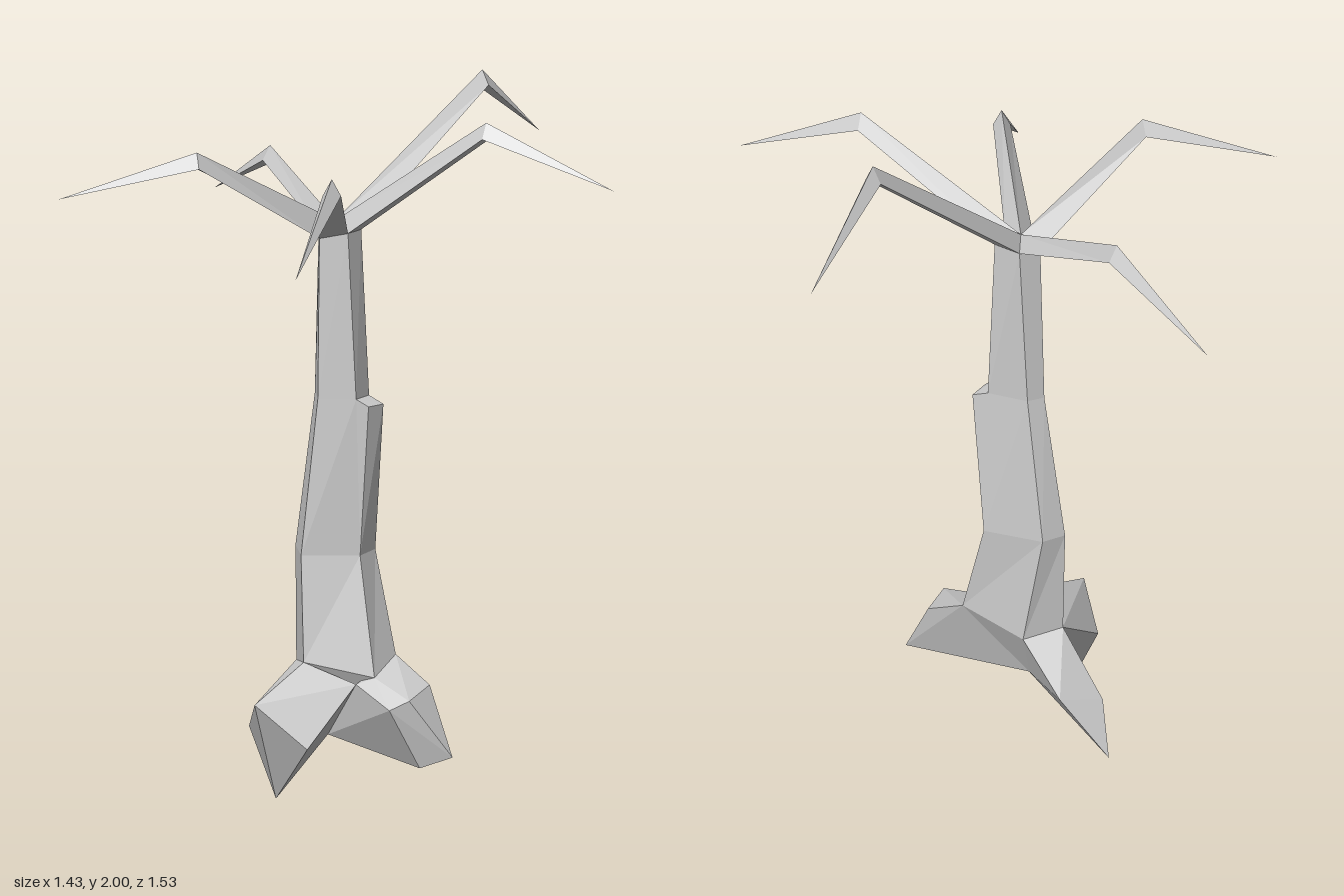
import * as THREE from 'three';
import { ConvexGeometry } from 'three/addons/geometries/ConvexGeometry.js';

const material = new THREE.MeshStandardMaterial({ color: 0xcccccc, flatShading: true, side: THREE.DoubleSide });

// Skins a stack of equal-length rings; each ring runs anticlockwise seen from the far end.
function loft(rings) {
  const out = [];
  const tri = (a, b, c) => {
    const same = (p, q) => p.every((v, k) => v === q[k]);
    if (!same(a, b) && !same(b, c) && !same(a, c)) out.push(...a, ...b, ...c);
  };
  for (let r = 0; r < rings.length - 1; r++) {
    const lo = rings[r], hi = rings[r + 1], n = lo.length;
    for (let i = 0; i < n; i++) {
      const j = (i + 1) % n;
      tri(lo[i], lo[j], hi[j]);
      tri(lo[i], hi[j], hi[i]);
    }
  }
  const g = new THREE.BufferGeometry();
  g.setAttribute('position', new THREE.Float32BufferAttribute(out, 3));
  g.computeVertexNormals();
  return g;
}

function hull(points) {
  return new ConvexGeometry(points.map((p) => new THREE.Vector3(...p)));
}

export function createModel() {
  const tree = new THREE.Group();
  tree.name = 'tree';
  const add = (name, geometry) => {
    const mesh = new THREE.Mesh(geometry, material);
    mesh.name = name;
    tree.add(mesh);
  };

  // Five-sided trunk: front left, front right, right, back right, back left
  const under = [0.02, 0.15, 0.02];
  const foot = [[-0.06, 0.385, 0.11], [0.13, 0.35, 0.17], [0.205, 0.39, 0.07], [0.06, 0.33, -0.06], [-0.06, 0.35, -0.06]];
  const knee = [[-0.062, 0.68, 0.07], [0.1, 0.68, 0.093], [0.155, 0.68, 0.01], [0.01, 0.68, -0.09], [-0.06, 0.68, -0.075]];
  const waist = [[-0.015, 1.12, 0.07], [0.087, 1.12, 0.1], [0.133, 1.12, 0.03], [0.04, 1.12, -0.042], [-0.01, 1.12, -0.035]];
  const crown = [[-0.01, 1.56, 0.065], [0.065, 1.575, 0.09], [0.11, 1.58, 0.03], [0.06, 1.58, -0.038], [0, 1.575, -0.03]];
  add('trunk', loft([foot.map(() => under), foot, knee, waist, crown]));

  // Stepped bark slab on the front right face
  add('barkSlab', hull([knee[1], knee[2], waist[1], waist[2], [0.12, 1.1, 0.11], [0.168, 1.1, 0.065]]));

  // Three blunt roots
  const crotch = [0.08, 0.33, 0.16];
  add('frontLeftRoot', hull([foot[0], foot[4], crotch, under,
    [-0.21, 0.3, 0.23], [-0.21, 0.2, 0.08], [-0.14, 0, 0.125], [-0.07, 0.18, 0.27]]));
  add('frontRightRoot', hull([foot[1], foot[2], crotch, under,
    [0.155, 0.285, 0.28], [0.21, 0.31, 0.28], [0.285, 0.325, 0.17], [0.335, 0.14, 0.26], [0.245, 0.11, 0.25]]));
  add('backRoot', hull([foot[3], foot[4], under,
    [-0.11, 0.09, -0.36], [-0.13, 0.2, -0.23], [0.01, 0.255, -0.27]]));

  // Bent branches: one grows from each side of the crown, given as elbow and tip
  const apex = [0.04, 1.605, 0.02];
  const branches = [
    [[-0.03, 1.755, 0.47], [-0.16, 1.53, 0.765]],
    [[0.405, 1.885, 0.295], [0.7, 1.72, 0.52]],
    [[0.495, 2, -0.25], [0.715, 1.81, -0.51]],
    [[-0.09, 1.78, -0.42], [-0.22, 1.63, -0.765]],
    [[-0.355, 1.807, 0.205], [-0.72, 1.68, 0.13]],
  ];
  branches.forEach(([elbow, tip], i) => {
    const dx = tip[0] - apex[0], dz = tip[2] - apex[2], len = Math.hypot(dx, dz);
    const low = (s) => [elbow[0] + (s * dz) / len, elbow[1] - 0.043, elbow[2] - (s * dx) / len];
    add('branch' + (i + 1), loft([
      [crown[i], crown[(i + 1) % 5], apex],
      [low(-0.024), low(0.024), elbow],
      [tip, tip, tip],
    ]));
  });
  return tree;
}
